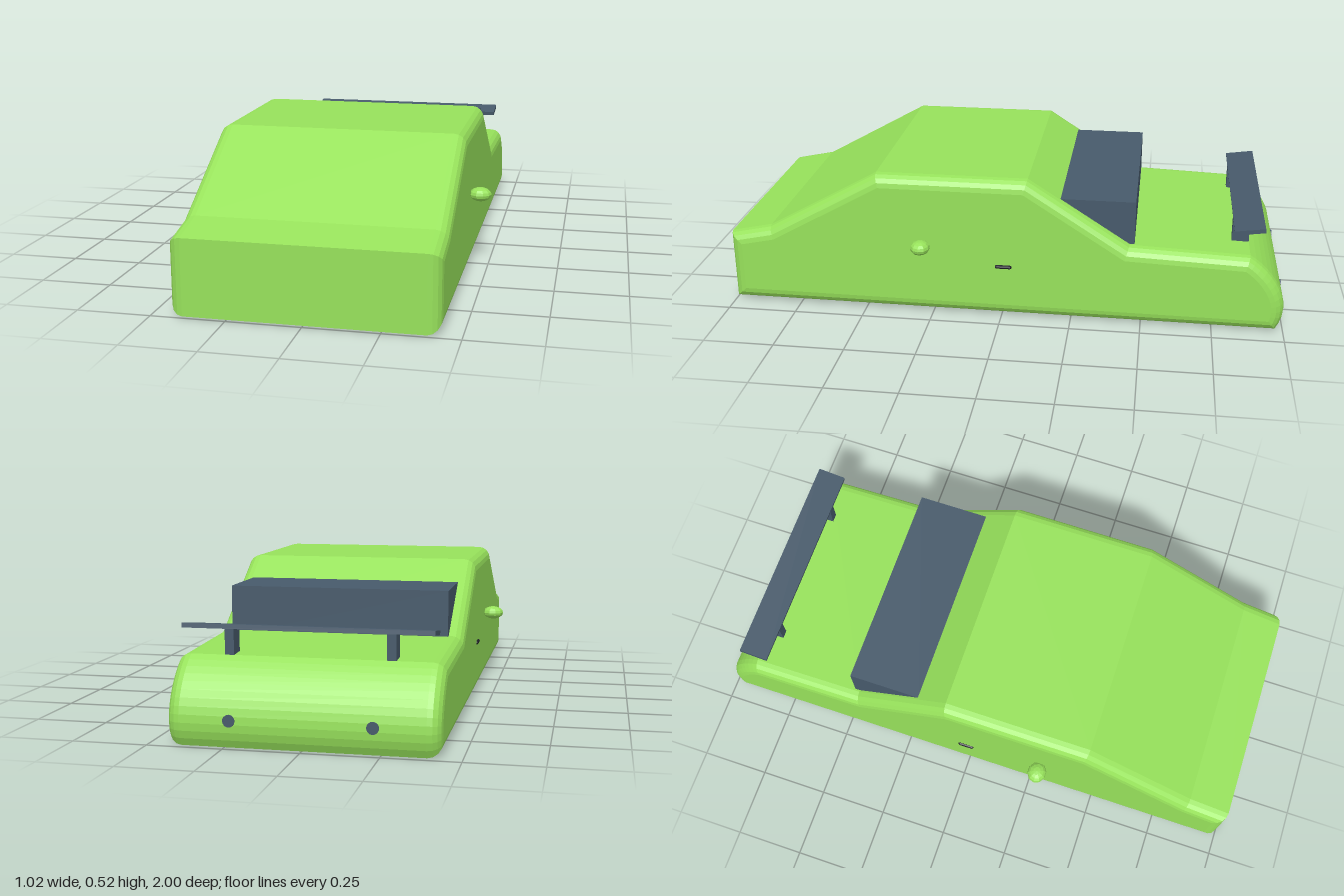
import * as THREE from 'three';

export function createModel() {
  const car = new THREE.Group();
  car.name = 'carBody';
  const paint = new THREE.MeshStandardMaterial({ color: 0x97e25b, flatShading: true });
  paint.name = 'greenPaint';
  const trim = new THREE.MeshStandardMaterial({ color: 0x475a6b, flatShading: true });
  trim.name = 'slateTrim';
  const black = new THREE.MeshStandardMaterial({ color: 0x1c1f24, flatShading: true });
  black.name = 'blackTrim';

  function add(name, geometry, material, x = 0, y = 0, z = 0) {
    const mesh = new THREE.Mesh(geometry, material);
    mesh.name = name;
    mesh.position.set(x, y, z);
    car.add(mesh);
    return mesh;
  }

  // Extrude a side profile (rearward, up) across the width, centred on x = 0
  function extrudeAcross(shape, width, bevel) {
    const geometry = new THREE.ExtrudeGeometry(shape, {
      depth: width - 2 * bevel, curveSegments: 12, bevelEnabled: bevel > 0,
      bevelSize: bevel, bevelThickness: bevel, bevelOffset: -bevel, bevelSegments: 4,
    });
    geometry.translate(0, 0, -(width - 2 * bevel) / 2);
    geometry.rotateY(Math.PI / 2);
    return geometry;
  }

  // Shell: nose, windscreen slope, roof, rear slope, deck and rounded tail
  const profile = new THREE.Shape();
  profile.moveTo(-1, 0.006);
  profile.lineTo(0.975, 0);
  profile.bezierCurveTo(1.04, 0.1, 0.96, 0.22, 0.87, 0.275);
  profile.lineTo(0.45, 0.29);
  profile.lineTo(0.09, 0.52);
  profile.lineTo(-0.45, 0.52);
  profile.lineTo(-0.85, 0.297);
  profile.lineTo(-1, 0.265);
  profile.closePath();
  add('shell', extrudeAcross(profile, 0.874, 0.045), paint);

  // Wedge-shaped engine cover behind the roof
  const wedge = new THREE.Shape([
    new THREE.Vector2(0.2, 0.447),
    new THREE.Vector2(0.468, 0.27),
    new THREE.Vector2(0.468, 0.447),
  ]);
  add('engineCover', extrudeAcross(wedge, 0.77, 0), trim);

  // Rear wing
  const wing = add('rearWing', new THREE.BoxGeometry(0.81, 0.015, 0.106), trim, 0, 0.366, -0.863);
  wing.rotation.x = 0.14;

  const mirrorShape = new THREE.SphereGeometry(1, 10, 8);
  mirrorShape.scale(0.04, 0.025, 0.035);
  const handleShape = new THREE.CapsuleGeometry(0.007, 0.046, 4, 8);
  handleShape.rotateX(Math.PI / 2);
  const exhaustShape = new THREE.CylinderGeometry(0.02, 0.02, 0.03, 16);
  exhaustShape.rotateX(Math.PI / 2);

  // Paired parts
  for (const [side, s] of [['left', 1], ['right', -1]]) {
    add(side + 'WingSupport', new THREE.BoxGeometry(0.03, 0.1, 0.06), trim, s * 0.263, 0.31, -0.84);
    add(side + 'Mirror', mirrorShape, paint, s * 0.47, 0.27, 0.284);
    add(side + 'DoorHandle', handleShape, black, s * 0.438, 0.197, -0.008);
    add(side + 'Exhaust', exhaustShape, trim, s * 0.228, 0.09, -0.985);
  }
  return car;
}
